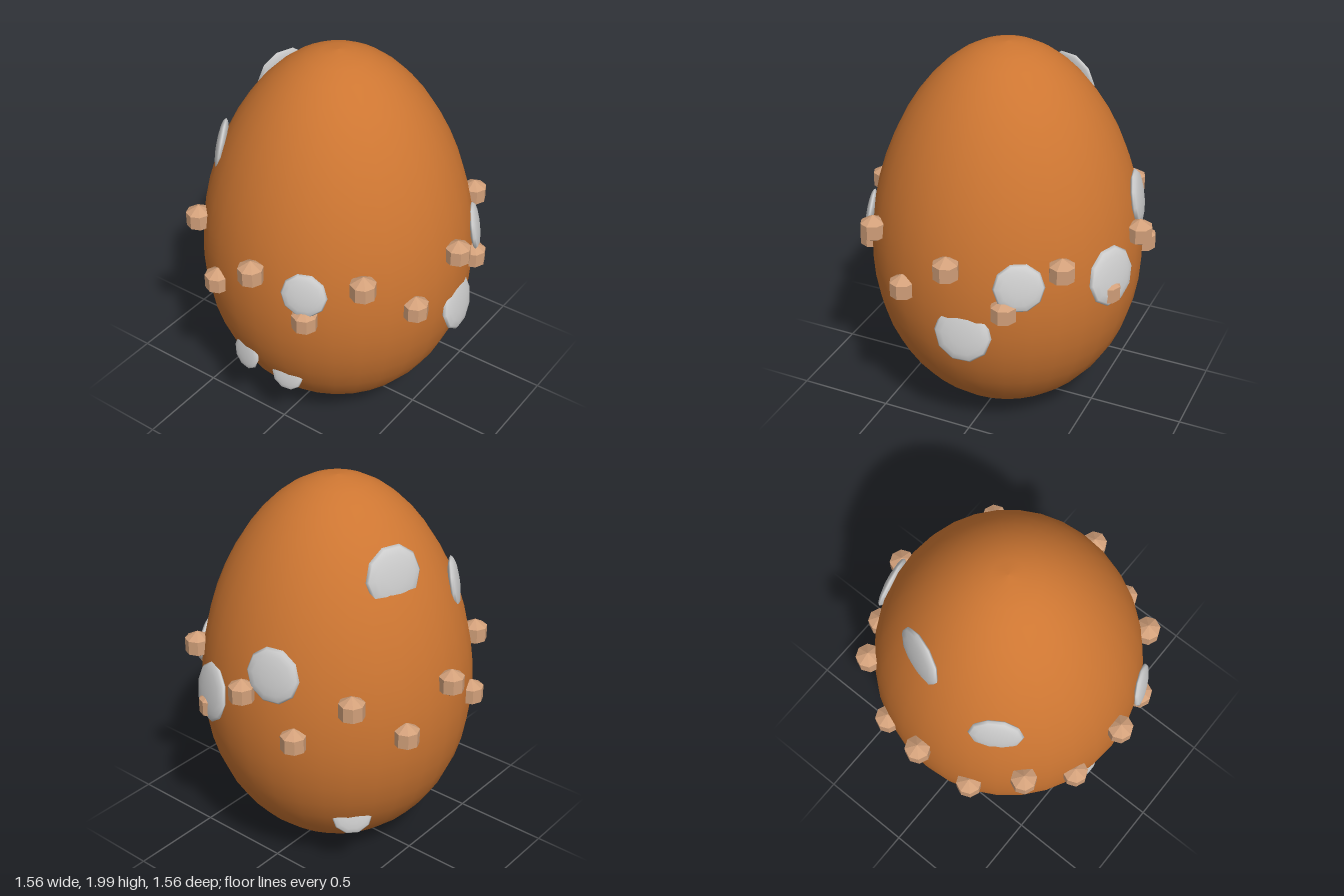
import * as THREE from 'three';

export function createModel() {
  const group = new THREE.Group();
  group.name = 'decoratedEgg';

  const shellMat = new THREE.MeshStandardMaterial({ color: 0xcd7632 });
  shellMat.name = 'orange shell';
  const studMat = new THREE.MeshStandardMaterial({ color: 0xd2a07a, flatShading: true });
  studMat.name = 'tan stud';
  const spotMat = new THREE.MeshStandardMaterial({ color: 0xcfcfcf });
  spotMat.name = 'pale grey spot';

  // Egg shell: an ellipse narrowed towards the top, spun round y
  const profile = [];
  const rings = 24;
  for (let i = 0; i <= rings; i++) {
    const a = (i / rings) * Math.PI;
    const t = -Math.cos(a);
    const r = i % rings === 0 ? 0 : 0.7 * Math.sin(a) * (1 - 0.12 * t);
    profile.push(new THREE.Vector2(r, 1.003 + 0.997 * t));
  }
  const shell = new THREE.Mesh(new THREE.LatheGeometry(profile, 32), shellMat);
  shell.name = 'shell';
  group.add(shell);

  // Two staggered rings of faceted studs round the middle
  const studGeo = new THREE.SphereGeometry(0.075, 8, 3);
  const addStudRing = (name, y, radius, offset) => {
    const ring = new THREE.Group();
    ring.name = name;
    for (let i = 0; i < 8; i++) {
      const a = ((i + offset) * Math.PI) / 4;
      const stud = new THREE.Mesh(studGeo, studMat);
      stud.name = 'stud';
      stud.position.set(Math.sin(a) * radius, y, Math.cos(a) * radius);
      ring.add(stud);
    }
    group.add(ring);
  };
  addStudRing('upperStudRing', 1.105, 0.717, 0);
  addStudRing('lowerStudRing', 0.905, 0.71, 0.5);

  // Flattened round spots, facing outwards and tilted slightly up: x, y, z, radius
  const spotGeo = new THREE.SphereGeometry(1, 10, 8).rotateX(Math.PI / 2);
  const spots = [
    [0.07, 0.745, 0.69, 0.148],
    [0.335, 1.035, 0.62, 0.126],
    [0.665, 0.985, 0.26, 0.152],
    [0.65, 1.22, -0.145, 0.142],
    [0.155, 1.655, -0.465, 0.153],
    [-0.32, 1.455, -0.49, 0.135],
    [-0.655, 1.055, 0.27, 0.115],
    [-0.587, 0.415, 0.1, 0.088],
    [-0.627, 0.48, -0.13, 0.093],
    [0.39, 0.395, -0.42, 0.105],
  ];
  for (const [x, y, z, r] of spots) {
    const spot = new THREE.Mesh(spotGeo, spotMat);
    spot.name = 'spot';
    spot.position.set(x, y, z);
    spot.rotation.set(-0.19, Math.atan2(x, z), 0, 'YXZ');
    spot.scale.set(r, r, r * 0.2);
    group.add(spot);
  }

  return group;
}
